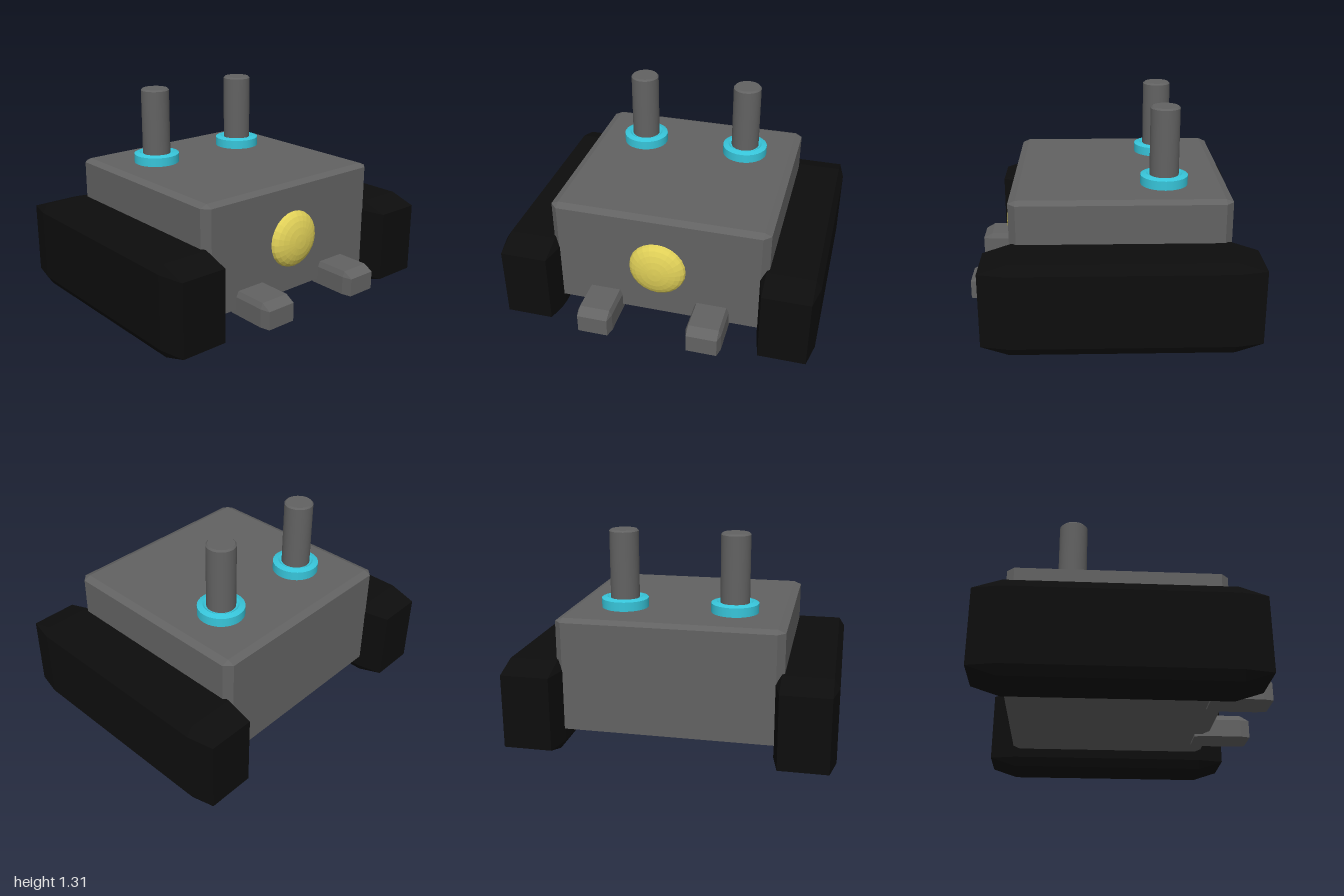
import * as THREE from 'three';
import { ConvexGeometry } from 'three/addons/geometries/ConvexGeometry.js';

const material = (name, color, flatShading = false) => {
  const m = new THREE.MeshStandardMaterial({ color, flatShading });
  m.name = name;
  return m;
};

// Box between two corners with chamfered edges; c holds the cut along each axis
function chamferBox(min, max, c, flatBottom = false) {
  const points = [];
  for (const sx of [0, 1]) for (const sy of [0, 1]) for (const sz of [0, 1]) {
    const side = [sx, sy, sz];
    const outer = side.map((s, i) => (s ? max[i] : min[i]));
    const inner = side.map((s, i) => (s ? max[i] - c[i] : min[i] + c[i]));
    if (flatBottom && !sy) inner[1] = outer[1];
    for (let k = 0; k < 3; k++) {
      if (flatBottom && !sy && k === 1) continue;
      const p = [...inner];
      p[k] = outer[k];
      points.push(new THREE.Vector3(...p));
    }
  }
  return new ConvexGeometry(points);
}

export function createModel() {
  const group = new THREE.Group();
  const grey = material('grey metal', 0x626262);
  const black = material('black rubber', 0x0d0d0d);
  const cyan = material('cyan', 0x37c5da);
  const yellow = material('yellow', 0xe0d058, true);

  const add = (name, geometry, mat, x = 0, y = 0, z = 0) => {
    const mesh = new THREE.Mesh(geometry, mat);
    mesh.name = name;
    mesh.position.set(x, y, z);
    group.add(mesh);
    return mesh;
  };
  // Flat-capped turned part: each profile band gets its own sharp edges
  const turned = (name, profile, mat, x, z) => {
    for (let i = 0; i < profile.length - 1; i++) {
      const band = profile.slice(i, i + 2).map(([r, y]) => new THREE.Vector2(r, y));
      add(name, new THREE.LatheGeometry(band, 32), mat, x, 0, z);
    }
  };

  // Hull
  add('body', chamferBox([-0.685, 0.115, -0.72], [0.685, 0.825, 0.6], [0.045, 0.02, 0.045]), grey);

  // Domed front lamp
  const lamp = new THREE.SphereGeometry(0.18, 24, 6, 0, Math.PI * 2, 0, Math.PI / 2);
  lamp.rotateX(Math.PI / 2);
  lamp.scale(1, 1, 0.4);
  add('frontLamp', lamp, yellow, 0, 0.47, 0.6);

  for (const [side, s] of [['left', 1], ['right', -1]]) {
    // Tracks
    const xs = [0.635 * s, 1.0 * s].sort((a, b) => a - b);
    add(side + 'Track', chamferBox([xs[0], 0, -0.875], [xs[1], 0.565, 0.755], [0.035, 0.055, 0.165]), black);

    // Front prongs
    const px = 0.345 * s;
    add(side + 'Prong', chamferBox([px - 0.11, 0.1, 0.5], [px + 0.11, 0.25, 0.87], [0.015, 0.035, 0.06], true), grey);

    // Upright posts and their collars
    turned(side + 'Post', [[0.09, 0.82], [0.09, 1.3], [0.08, 1.31], [0, 1.31]], grey, px, -0.335);
    turned(side + 'Collar', [[0.146, 0.82], [0.146, 0.882], [0.112, 0.893], [0.1, 0.885], [0.09, 0.885]], cyan, px, -0.335);
  }
  return group;
}
